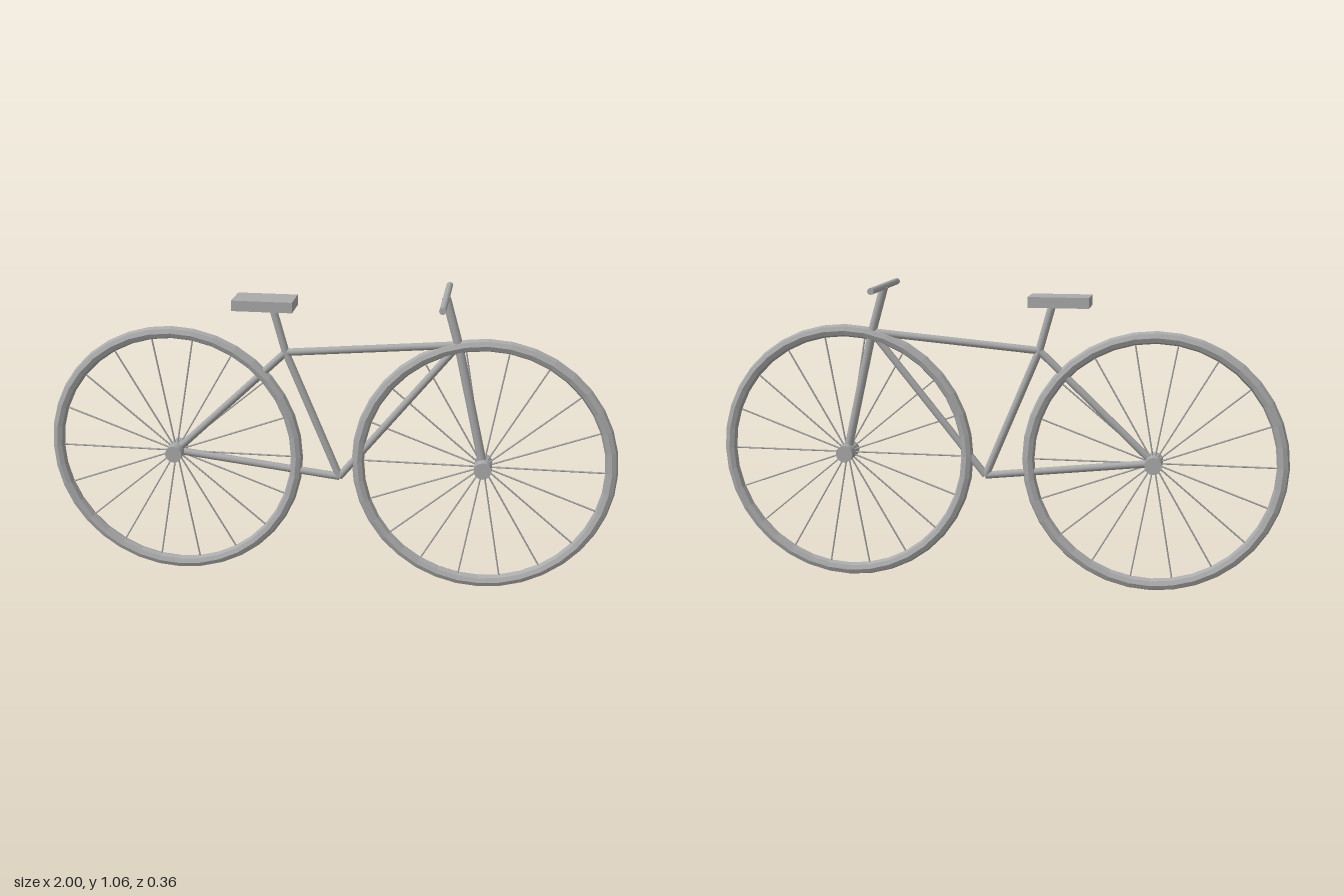
import * as THREE from 'three';

export function createModel() {
  const bike = new THREE.Group();
  bike.name = 'bicycle';
  const grey = new THREE.MeshStandardMaterial({ color: 0xaaaaaa });
  grey.name = 'grey';

  function add(parent, name, geometry, x = 0, y = 0, z = 0) {
    const mesh = new THREE.Mesh(geometry, grey);
    mesh.name = name;
    mesh.position.set(x, y, z);
    parent.add(mesh);
    return mesh;
  }

  // Straight tube between two points
  const up = new THREE.Vector3(0, 1, 0);
  function tube(parent, name, a, b, radius, sides = 12) {
    const start = new THREE.Vector3(...a), end = new THREE.Vector3(...b);
    const dir = end.clone().sub(start);
    const mesh = add(parent, name, new THREE.CylinderGeometry(radius, radius, dir.length(), sides));
    mesh.position.copy(start).add(end).multiplyScalar(0.5);
    mesh.quaternion.setFromUnitVectors(up, dir.normalize());
  }

  // Wheels: faceted tyre, hub and 18 spokes
  const ringRadius = 0.435, axleY = 0.457, axleX = 0.543, spokes = 18;
  const tyre = new THREE.TorusGeometry(ringRadius, 0.0217, 8, 36).toNonIndexed();
  tyre.computeVertexNormals();
  for (const [name, x] of [['rearWheel', -axleX], ['frontWheel', axleX]]) {
    const wheel = new THREE.Group();
    wheel.name = name;
    wheel.position.set(x, axleY, 0);
    bike.add(wheel);
    add(wheel, 'tyre', tyre);
    tube(wheel, 'hub', [0, 0, -0.0475], [0, 0, 0.0475], 0.03, 16);
    for (let i = 0; i < spokes; i++) {
      const t = (i / spokes) * Math.PI * 2;
      tube(wheel, 'spoke', [0, 0, 0], [Math.cos(t) * ringRadius, Math.sin(t) * ringRadius, 0], 0.003, 6);
    }
  }

  // Frame joints
  const rear = [-axleX, axleY, 0], front = [axleX, axleY, 0];
  const crank = [0.043, 0.391, 0], seatJoint = [-0.144, 0.837, 0];
  const head = [0.444, 0.888, 0], bar = [0.398, 1.048, 0];

  // Frame tubes
  tube(bike, 'seatTube', crank, seatJoint, 0.0135);
  tube(bike, 'topTube', seatJoint, head, 0.013);
  tube(bike, 'downTube', crank, head, 0.013);
  tube(bike, 'chainStay', rear, crank, 0.013);
  tube(bike, 'seatStay', rear, seatJoint, 0.013);
  tube(bike, 'fork', front, head, 0.0152);
  tube(bike, 'stem', head, bar, 0.0152);

  // Handlebar, seat post and saddle
  tube(bike, 'handlebar', [bar[0], bar[1], -0.18], [bar[0], bar[1], 0.18], 0.0115);
  tube(bike, 'seatPost', seatJoint, [-0.189, 1.0, 0], 0.0135);
  add(bike, 'saddle', new THREE.BoxGeometry(0.207, 0.036, 0.116), -0.214, 1.008, 0);

  return bike;
}
